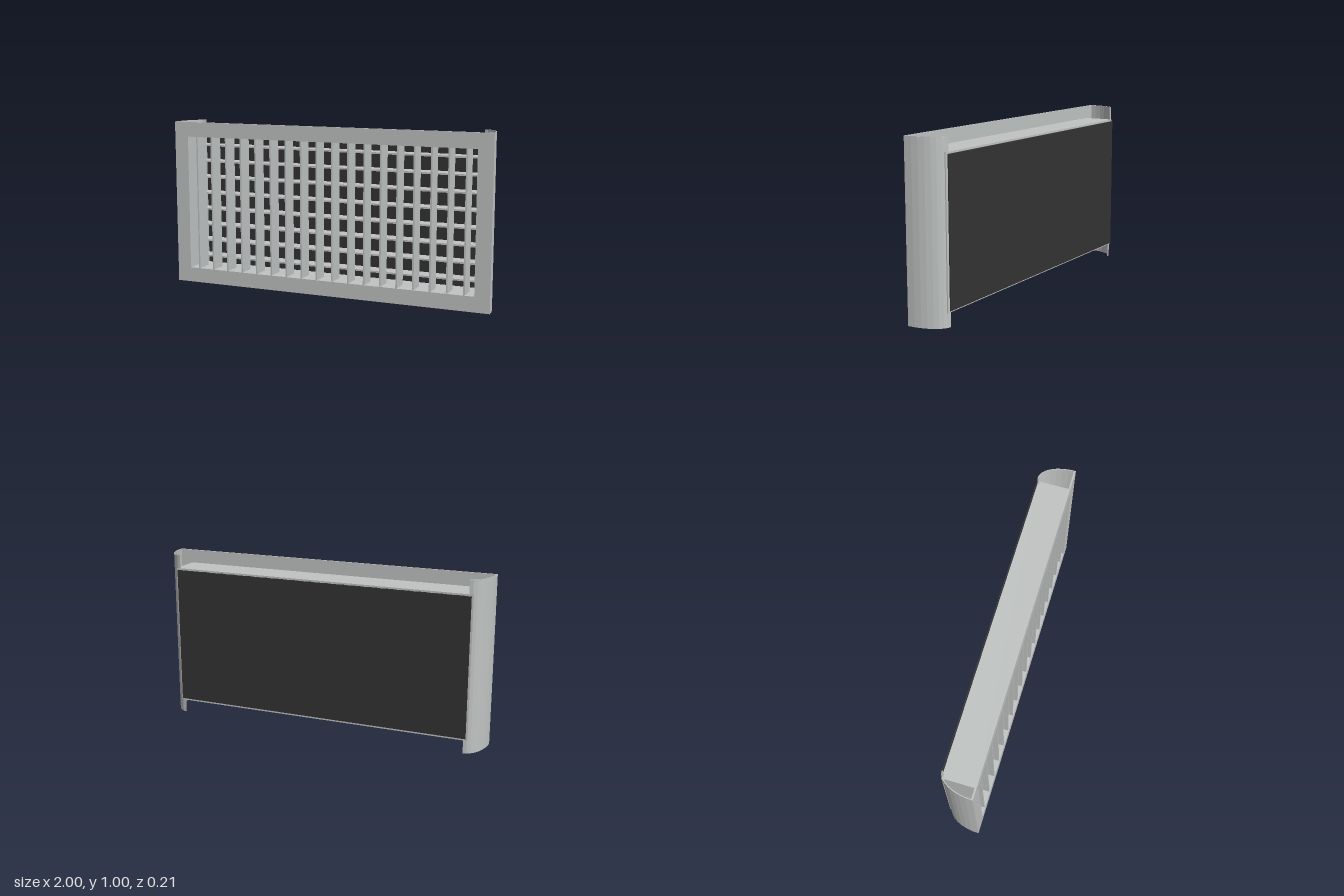
import * as THREE from 'three';

export function createModel() {
  const root = new THREE.Group();
  root.name = 'ventilationGrille';
  const metal = new THREE.MeshStandardMaterial({ color: 0xc0c4c3 });
  metal.name = 'pale grey metal';
  const dark = new THREE.MeshStandardMaterial({ color: 0x333333 });
  dark.name = 'charcoal';

  const add = (name, geometry, material, x = 0, y = 0, z = 0) => {
    const mesh = new THREE.Mesh(geometry, material);
    mesh.name = name;
    mesh.position.set(x, y, z);
    root.add(mesh);
  };
  const box = (name, w, h, d, x, y, z, material = metal) =>
    add(name, new THREE.BoxGeometry(w, h, d), material, x, y, z);

  // Front frame: thin plate with a rectangular opening
  const frame = new THREE.Shape([[-1, 0], [1, 0], [1, 1], [-1, 1]].map(p => new THREE.Vector2(...p)));
  frame.holes.push(new THREE.Path(
    [[-0.91, 0.09], [-0.91, 0.91], [0.91, 0.91], [0.91, 0.09]].map(p => new THREE.Vector2(...p))));
  add('frontFrame', new THREE.ExtrudeGeometry(frame, { depth: 0.01, bevelEnabled: false }), metal, 0, 0, 0.095);

  // Duct walls behind the opening
  for (const s of [-1, 1]) {
    box('ductSide', 0.01, 0.84, 0.195, s * 0.915, 0.5, 0.0025);
    box('ductTopOrBottom', 1.84, 0.01, 0.195, 0, 0.5 + s * 0.415, 0.0025);
  }

  // Curved end shells: faceted quarter ellipses, full height
  const arc = (rx, rz) => Array.from({ length: 9 }, (_, i) => {
    const a = (i / 8) * Math.PI / 2;
    return [0.895 + rx * Math.cos(a), 0.1 - rz * Math.sin(a)];
  });
  const section = [...arc(0.105, 0.195), ...arc(0.1, 0.19).reverse()];
  for (const s of [-1, 1]) {
    // Shape y becomes -z once the extrusion is turned upright
    const shape = new THREE.Shape(section.map(([x, z]) => new THREE.Vector2(s * x, -z)));
    const shell = new THREE.ExtrudeGeometry(shape, { depth: 1, bevelEnabled: false });
    shell.rotateX(-Math.PI / 2);
    add(s > 0 ? 'leftShell' : 'rightShell', shell, metal);
  }

  // Vertical slats in front, horizontal slats behind them
  for (let i = 0; i < 18; i++) box('verticalSlat', 0.01, 0.82, 0.1, -0.85 + i * 0.1, 0.5, 0.05);
  for (let i = 0; i < 8; i++) box('horizontalSlat', 1.82, 0.01, 0.095, 0, 0.15 + i * 0.1, -0.0475);

  // Dark backing plate
  box('backPlate', 1.82, 0.82, 0.005, 0, 0.5, -0.1025, dark);

  return root;
}
